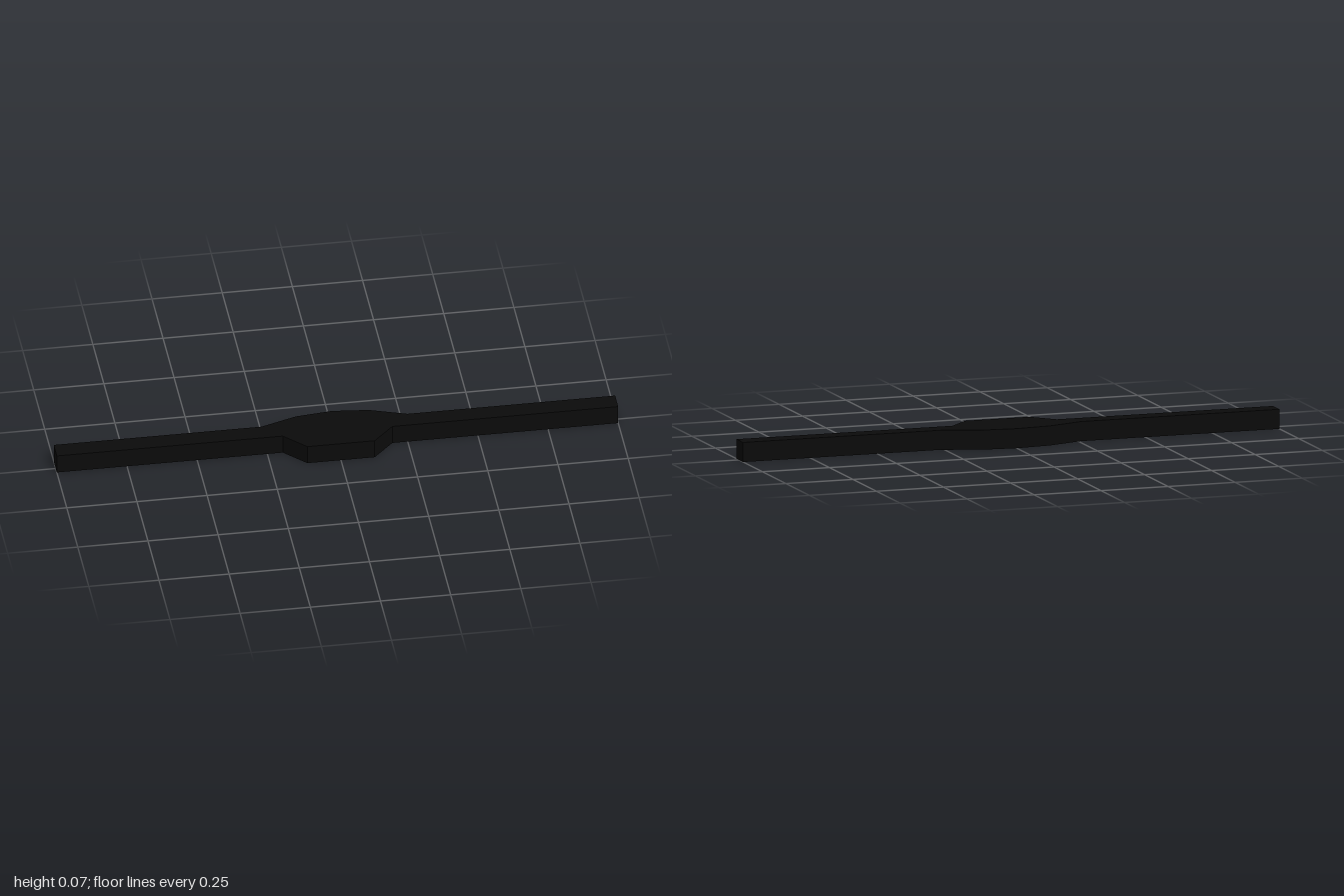
import * as THREE from 'three';

const HEIGHT = 0.07;

// Upright prism from a plan outline of [x, z] points
function prism(name, outline, material) {
  const shape = new THREE.Shape(outline.map(([x, z]) => new THREE.Vector2(x, -z)));
  const geometry = new THREE.ExtrudeGeometry(shape, { depth: HEIGHT, bevelEnabled: false });
  geometry.rotateX(-Math.PI / 2);
  const mesh = new THREE.Mesh(geometry, material);
  mesh.name = name;
  return mesh;
}

export function createModel() {
  const black = new THREE.MeshStandardMaterial({ color: 0x0b0b0b });
  black.name = 'black';
  const model = new THREE.Group();
  model.name = 'barWithCentreHub';

  // Centre hub: shallow arched back, tapered front
  const half = [[0.12, 0.104], [0.195, 0.025], [0.26, -0.045], [0.13, -0.09]];
  const mirrored = half.map(([x, z]) => [-x, z]).reverse();
  model.add(prism('hub', [...half, [0, -0.104], ...mirrored], black));

  // Straight arms, cut at a slant to meet the hub
  for (const [name, side] of [['leftArm', 1], ['rightArm', -1]]) {
    const arm = [[0.195, 0.025], [1, 0.025], [1, -0.045], [0.26, -0.045]];
    model.add(prism(name, arm.map(([x, z]) => [side * x, z]), black));
  }
  return model;
}
